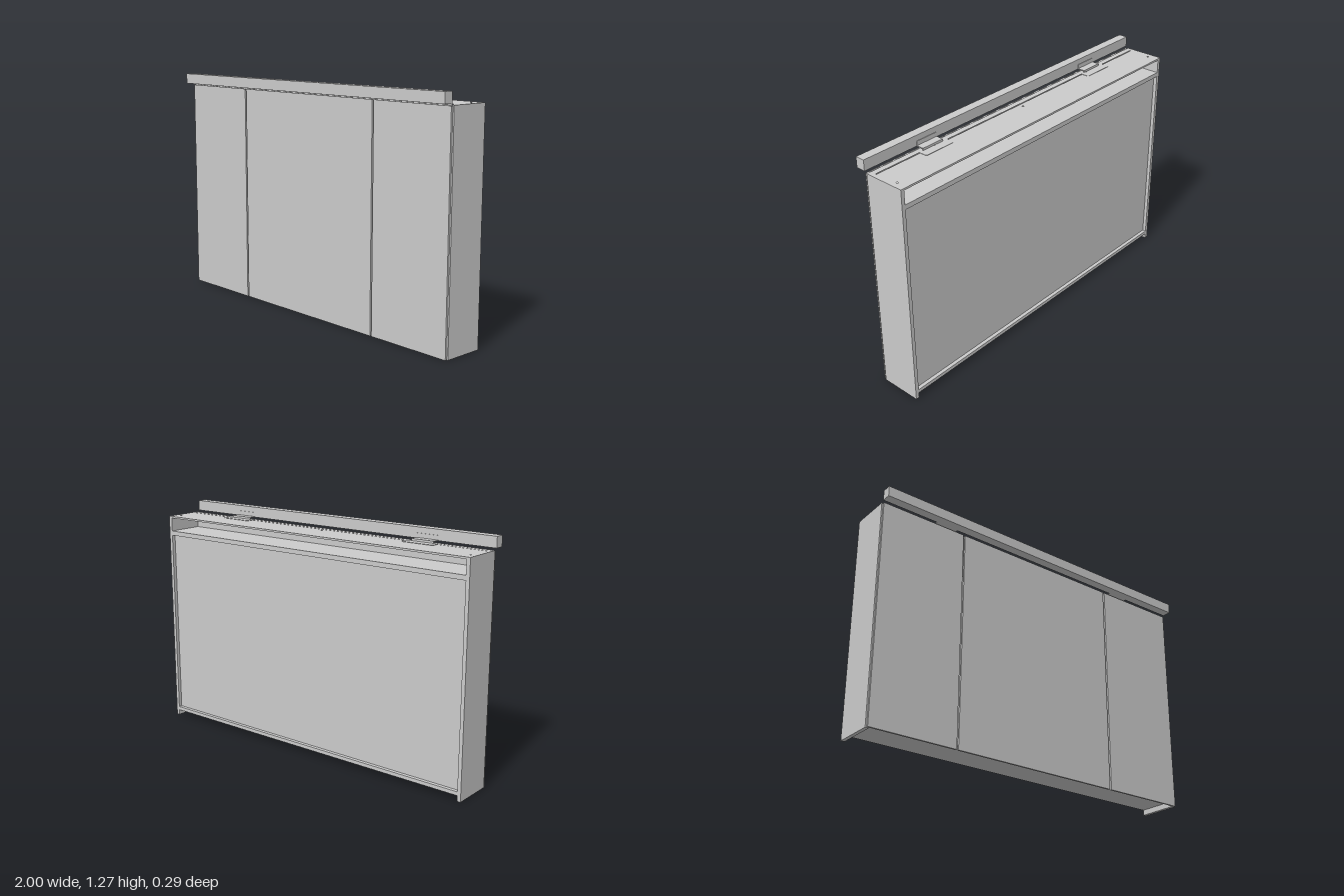
import * as THREE from 'three';

const material = new THREE.MeshStandardMaterial({ color: 0xcccccc });

// Box given by its limits on each axis
function block(name, [x0, x1], [y0, y1], [z0, z1]) {
  const mesh = new THREE.Mesh(new THREE.BoxGeometry(x1 - x0, y1 - y0, z1 - z0), material);
  mesh.name = name;
  mesh.position.set((x0 + x1) / 2, (y0 + y1) / 2, (z0 + z1) / 2);
  return mesh;
}

function rectanglePath(x0, x1, z0, z1) {
  return new THREE.Path([
    new THREE.Vector2(x0, z0), new THREE.Vector2(x0, z1),
    new THREE.Vector2(x1, z1), new THREE.Vector2(x1, z0),
  ]);
}

// Flat plate drawn in x and z, with its top at height y
function plate(name, shape, y, thickness) {
  const geometry = new THREE.ExtrudeGeometry(shape, { depth: thickness, bevelEnabled: false });
  geometry.rotateX(Math.PI / 2);
  const mesh = new THREE.Mesh(geometry, material);
  mesh.name = name;
  mesh.position.y = y;
  return mesh;
}

const BACK = -0.145, FRONT = 0.08, HEIGHT = 1.21, INNER = 0.98;

function createCabinet() {
  const cabinet = new THREE.Group();
  cabinet.name = 'cabinet';

  for (const s of [-1, 1]) {
    cabinet.add(block('sidePanel', s < 0 ? [-1, -INNER] : [INNER, 1], [0, HEIGHT], [BACK, FRONT]));
    // Upright partitions behind the door joints
    cabinet.add(block('partition', [s * 0.5 - 0.01, s * 0.5 + 0.01], [0.05, 1.1], [-0.12, 0.07]));
  }

  // Top panel with a long cable slot and small screw holes
  const top = new THREE.Shape(rectanglePath(-INNER, INNER, BACK, FRONT).getPoints());
  top.holes.push(rectanglePath(-0.975, 0.975, 0.043, 0.048));
  for (const [x, z] of [[-0.965, -0.085], [0.965, -0.085], [0, 0.018]]) {
    const hole = new THREE.Path();
    hole.absarc(x, z, 0.005, 0, Math.PI * 2, true);
    top.holes.push(hole);
  }
  cabinet.add(plate('topPanel', top, HEIGHT, 0.01));

  // Open service channel below the top, closed at its front
  cabinet.add(block('channelFloor', [-INNER, INNER], [1.1, 1.125], [BACK, 0.07]));
  cabinet.add(block('channelFront', [-INNER, INNER], [1.125, 1.2], [0.06, 0.07]));

  // Raised bottom and recessed back
  cabinet.add(block('bottomPanel', [-INNER, INNER], [0.03, 0.05], [BACK, 0.075]));
  cabinet.add(block('backPanel', [-INNER, INNER], [0.05, 1.1], [-0.125, -0.115]));
  return cabinet;
}

function createDoors() {
  const doors = new THREE.Group();
  doors.name = 'doors';
  for (const [x0, x1] of [[-0.995, -0.506], [-0.496, 0.494], [0.504, 0.995]]) {
    // Mirror sheet in front of a slightly narrower core
    doors.add(block('doorCore', [x0 + 0.002, x1 - 0.002], [0.002, 1.206], [0.081, 0.089]));
    doors.add(block('doorMirror', [x0, x1], [0.001, 1.207], [0.089, 0.094]));
  }
  return doors;
}

function createBracket(x) {
  const bracket = new THREE.Group();
  bracket.name = 'lampBracket';
  // Flush base with chamfered back corners
  const base = new THREE.Shape([
    [-0.092, 0.045], [0.092, 0.045], [0.092, 0.006], [0.086, 0], [-0.086, 0], [-0.092, 0.006],
  ].map(([px, pz]) => new THREE.Vector2(px, pz)));
  bracket.add(plate('bracketBase', base, HEIGHT + 0.002, 0.004));
  // Angle piece carrying the lamp
  bracket.add(block('bracketStep', [-0.065, 0.065], [HEIGHT, 1.222], [0.05, 0.054]));
  bracket.add(block('bracketArm', [-0.065, 0.065], [1.218, 1.222], [0.05, 0.095]));
  bracket.add(block('bracketFlange', [-0.065, 0.065], [1.218, 1.245], [0.091, 0.095]));
  bracket.position.x = x;
  return bracket;
}

export function createModel() {
  const model = new THREE.Group();
  model.name = 'mirrorCabinet';
  model.add(createCabinet(), createDoors());
  model.add(block('lampBar', [-1, 1], [1.218, 1.275], [0.094, 0.145]));
  for (const s of [-1, 1]) model.add(createBracket(s * 0.612));
  return model;
}
